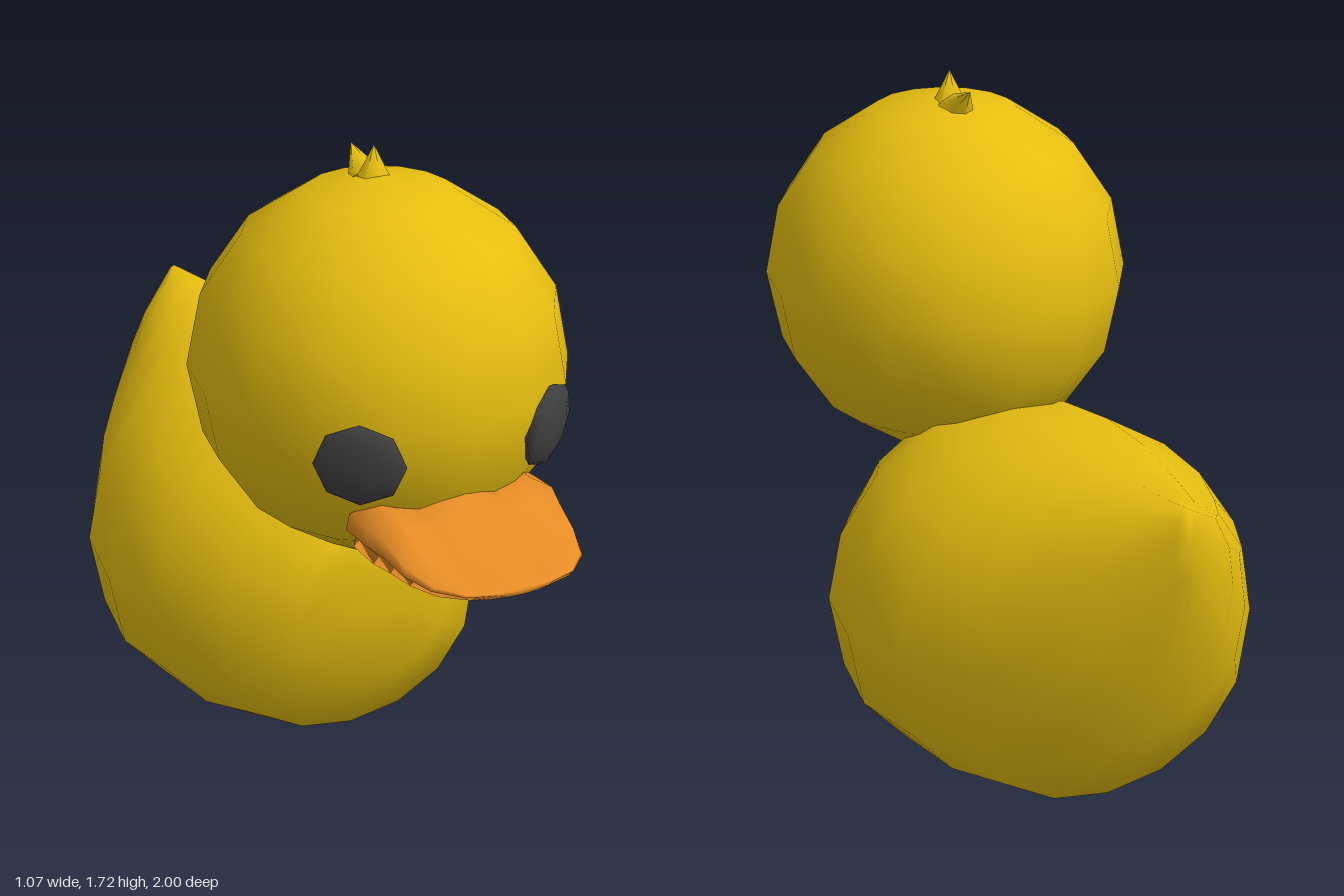
import * as THREE from 'three';

// Skin over closed rings (counter-clockwise seen from +z), ordered front to back
function loft(rings, frontTip, backTip) {
  const n = rings[0].length, pos = [], index = [];
  rings.forEach(r => r.forEach(p => pos.push(...p)));
  const front = pos.length / 3, back = front + 1, last = (rings.length - 1) * n;
  pos.push(...frontTip, ...backTip);
  for (let j = 0; j < n; j++) {
    const k = (j + 1) % n;
    for (let i = 0; i < rings.length - 1; i++) {
      const a = i * n + j, b = i * n + k, c = a + n, d = b + n;
      index.push(a, c, b, b, c, d);
    }
    index.push(front, j, k, back, last + k, last + j);
  }
  const g = new THREE.BufferGeometry();
  g.setAttribute('position', new THREE.Float32BufferAttribute(pos, 3));
  g.setIndex(index);
  g.computeVertexNormals();
  return g;
}

export function createModel() {
  const group = new THREE.Group();
  const mat = (name, color) => {
    const m = new THREE.MeshStandardMaterial({ color });
    m.name = name;
    return m;
  };
  const yellow = mat('yellow', 0xe6be10);
  const orange = mat('orange', 0xe68c26);
  const black = mat('black', 0x404040);
  const add = (name, geometry, material) => {
    const m = new THREE.Mesh(geometry, material);
    m.name = name;
    group.add(m);
    return m;
  };

  // Body: z, half width, bottom, widest height, top
  const bodySections = [
    [0.275, 0.11, 0.44, 0.55, 0.67],
    [0.25, 0.22, 0.24, 0.46, 0.70],
    [0.13, 0.38, 0.05, 0.44, 0.83],
    [-0.04, 0.495, 0.015, 0.44, 0.90],
    [-0.25, 0.535, 0.005, 0.44, 0.93],
    [-0.47, 0.50, 0.02, 0.45, 0.94],
    [-0.65, 0.405, 0.05, 0.48, 0.948],
    [-0.78, 0.305, 0.27, 0.57, 0.96],
    [-0.90, 0.19, 0.50, 0.71, 0.975],
    [-0.99, 0.03, 0.80, 0.90, 0.99],
  ];
  const bodyRings = bodySections.map(([z, w, lo, mid, hi]) =>
    Array.from({ length: 16 }, (_, j) => {
      const t = j * Math.PI / 8, s = Math.sin(t);
      const y = s >= 0 ? mid + (hi - mid) * s : mid - (mid - lo) * Math.pow(-s, 0.78);
      return [w * Math.cos(t), y, z];
    }));
  add('body', loft(bodyRings, [0, 0.56, 0.285], [0, 0.9, -1]), yellow);

  // Head
  const head = add('head', new THREE.SphereGeometry(1, 16, 8), yellow);
  head.scale.set(0.475, 0.48, 0.485);
  head.position.set(0, 1.17, 0.27);

  // Bill: half outline from top centre to bottom centre, then z, half width, bottom, top
  const outline = [[0, 1], [0.4, 0.68], [0.75, 0.86], [0.97, 0.6], [1, 0.3], [0.86, 0.02],
    [0.92, -0.2], [0.55, -0.78], [0, -1]];
  const billSections = [
    [0.995, 0.07, 0.853, 0.872],
    [0.975, 0.145, 0.843, 0.878],
    [0.92, 0.205, 0.825, 0.895],
    [0.84, 0.235, 0.81, 0.925],
    [0.76, 0.245, 0.80, 0.975],
    [0.70, 0.26, 0.80, 1.00],
    [0.60, 0.26, 0.805, 0.99],
    [0.54, 0.22, 0.82, 0.95],
  ];
  const billRings = billSections.map(([z, w, lo, hi]) => {
    const mid = 0.863;
    const point = (side) => ([u, v]) => [side * u * w, mid + v * (v > 0 ? hi - mid : mid - lo), z];
    return [...outline.map(point(-1)), ...outline.slice(1, -1).reverse().map(point(1))];
  });
  add('bill', loft(billRings, [0, 0.862, 0.997], [0, 0.88, 0.5]), orange);

  // Eyes: flattened domes facing away from the head centre
  for (const side of [-1, 1]) {
    const eye = add(side > 0 ? 'leftEye' : 'rightEye',
      new THREE.SphereGeometry(0.11, 8, 6).rotateX(Math.PI / 2), black);
    eye.scale.set(1.02, 1, 0.3);
    eye.position.set(side * 0.256, 1.095, 0.66);
    eye.lookAt(side * 0.806, 0.98, 1.47);
  }

  // Feather tuft: one upright, one leaning back
  const tuft = (name, z, lean, height) => {
    const f = add(name, new THREE.ConeGeometry(0.05, height, 6).translate(0, height / 2, 0), yellow);
    f.position.set(0, 1.62, z);
    f.rotation.x = lean;
  };
  tuft('frontTuft', 0.24, 0, 0.1);
  tuft('backTuft', 0.2, -0.85, 0.107);

  return group;
}
